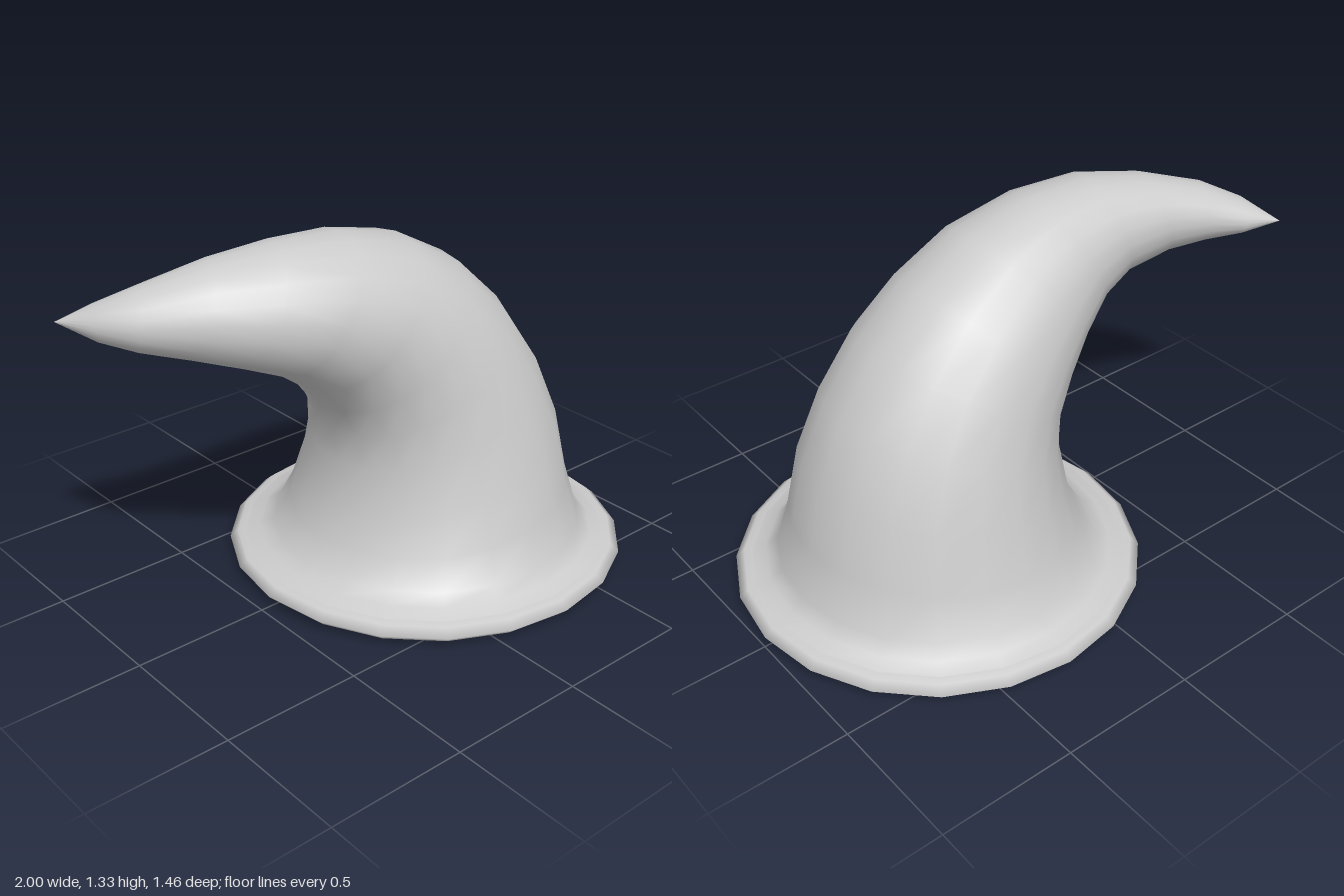
import * as THREE from 'three';

const SIDES = 20;
const AXIS_X = 0.265; // centre of the round base

// Flat ring around the base axis
const flatRing = (r, y) => ({
  c: new THREE.Vector3(AXIS_X, y, 0),
  u: new THREE.Vector3(r, 0, 0),
  v: new THREE.Vector3(0, 0, r),
});

// Tilted ring from its outer and inner bend points (x, y),
// its centre z, and the half-width vector (x, z) across it
const bentRing = ([ox, oy, ix, iy, z, hx, hz]) => ({
  c: new THREE.Vector3((ox + ix) / 2, (oy + iy) / 2, z),
  u: new THREE.Vector3((ox - ix) / 2, (oy - iy) / 2, 0),
  v: new THREE.Vector3(hx, 0, hz),
});

const scaled = ({ c, u, v }, s) => ({
  c: c.clone(), u: u.clone().multiplyScalar(s), v: v.clone().multiplyScalar(s),
});

// Smooth skin through a list of rings; inward turns the faces to the inside
function loft(rings, inward = false) {
  const pos = [], index = [];
  for (const { c, u, v } of rings) {
    for (let j = 0; j < SIDES; j++) {
      const t = (j / SIDES) * Math.PI * 2;
      const p = c.clone().addScaledVector(u, Math.cos(t)).addScaledVector(v, Math.sin(t));
      pos.push(p.x, p.y, p.z);
    }
  }
  for (let i = 0; i < rings.length - 1; i++) {
    for (let j = 0; j < SIDES; j++) {
      const k = (j + 1) % SIDES;
      const a = i * SIDES + j, d = i * SIDES + k;
      const b = a + SIDES, e = d + SIDES;
      if (inward) index.push(a, d, b, d, e, b);
      else index.push(a, b, d, d, b, e);
    }
  }
  const g = new THREE.BufferGeometry();
  g.setAttribute('position', new THREE.Float32BufferAttribute(pos, 3));
  g.setIndex(index);
  g.computeVertexNormals();
  return g;
}

export function createModel() {
  const group = new THREE.Group();
  const material = new THREE.MeshStandardMaterial({ color: 0xcccccc });
  const add = (name, geometry) => {
    const mesh = new THREE.Mesh(geometry, material);
    mesh.name = name;
    group.add(mesh);
    return mesh;
  };

  // Cone that bends over to the side, its tip curling backwards
  const bend = [
    [0.84, 0.13, -0.30, 0.11, 0, 0, 0.57],
    [0.79, 0.30, -0.24, 0.20, 0, 0, 0.52],
    [0.74, 0.54, -0.19, 0.32, 0, 0, 0.475],
    [0.64, 0.77, -0.16, 0.47, 0, 0, 0.425],
    [0.50, 0.97, -0.17, 0.60, 0, 0, 0.385],
    [0.32, 1.14, -0.22, 0.70, 0, 0, 0.345],
    [0.10, 1.26, -0.30, 0.80, 0.01, 0, 0.30],
    [-0.15, 1.32, -0.42, 0.89, 0.015, -0.03, 0.25],
    [-0.39, 1.33, -0.55, 0.95, -0.005, -0.055, 0.20],
    [-0.60, 1.30, -0.70, 1.00, -0.07, -0.055, 0.15],
    [-0.80, 1.24, -0.82, 1.03, -0.155, -0.065, 0.10],
    [-0.92, 1.18, -0.91, 1.06, -0.245, -0.04, 0.07],
    [-1.00, 1.11, -1.00, 1.11, -0.355, 0, 0],
  ].map(bentRing);
  add('crown', loft([flatRing(0.67, 0.068), flatRing(0.62, 0.087), ...bend]));

  // Flat brim with a rounded edge
  const profile = [
    [0.545, 0.004], [0.64, 0], [0.70, 0.01], [0.73, 0.038], [0.70, 0.064], [0.64, 0.07],
  ].map(([x, y]) => new THREE.Vector2(x, y));
  add('brim', new THREE.LatheGeometry(profile, SIDES)).position.x = AXIS_X;

  // Hollow inside, following the bend a little inside the crown
  const inner = bend.slice(1, -1).map((r) => scaled(r, 0.92));
  const end = scaled(bend[bend.length - 2], 0);
  add('lining', loft([flatRing(0.545, 0.004), flatRing(0.525, 0.08), ...inner, end], true));

  return group;
}
